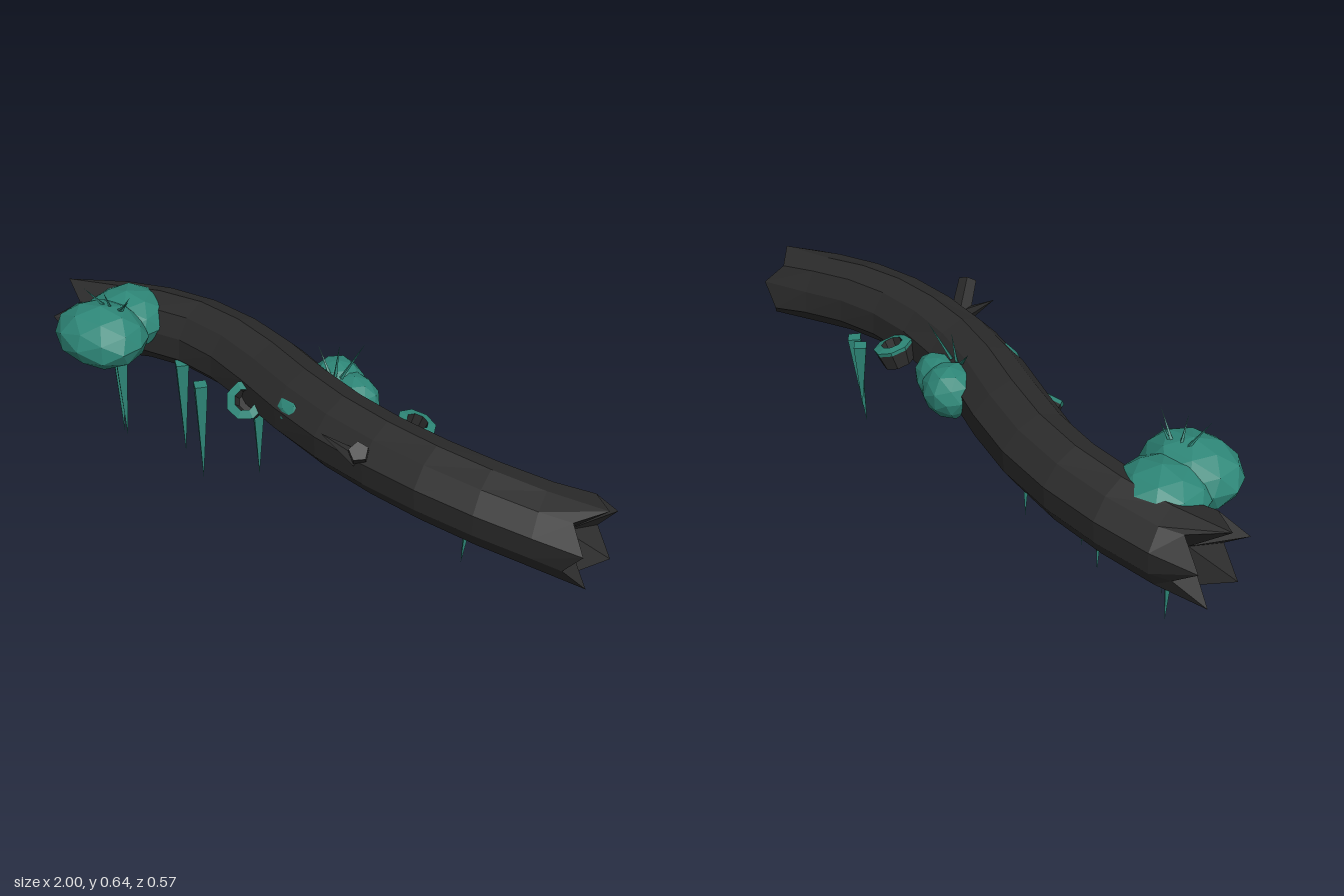
import * as THREE from 'three';

export function createModel() {
  const model = new THREE.Group();
  const bark = new THREE.MeshStandardMaterial({ color: 0x2b2b2b, flatShading: true });
  bark.name = 'charcoal bark';
  const moss = new THREE.MeshStandardMaterial({ color: 0x2e8778, flatShading: true });
  moss.name = 'teal moss';

  const add = (name, geometry, material, parent = model) => {
    const mesh = new THREE.Mesh(geometry, material);
    mesh.name = name;
    parent.add(mesh);
    return mesh;
  };

  // Tapered piece running from one point up to another
  const spike = (name, from, to, r0, r1, sides, material) => {
    const a = new THREE.Vector3(...from), b = new THREE.Vector3(...to);
    const dir = b.clone().sub(a);
    const mesh = add(name, new THREE.CylinderGeometry(r1, r0, dir.length(), sides), material);
    mesh.position.copy(a).add(b).multiplyScalar(0.5);
    mesh.quaternion.setFromUnitVectors(new THREE.Vector3(0, 1, 0), dir.normalize());
  };

  add('log', logGeometry(), bark);

  // Moss cushions: centre, radii, turn along the log
  [
    [[-0.725, 0.468, 0.062], [0.158, 0.1, 0.128], 0],
    [[-0.73, 0.46, -0.075], [0.14, 0.092, 0.137], 0],
    [[0.012, 0.463, 0.09], [0.1, 0.058, 0.053], -0.35],
    [[0.035, 0.455, -0.115], [0.09, 0.084, 0.082], -0.38],
    [[0.11, 0.45, -0.088], [0.095, 0.074, 0.065], -0.38],
  ].forEach(([c, r, turn], i) => {
    const cushion = add('mossCushion', mossGeometry(i), moss);
    cushion.position.set(...c);
    cushion.scale.set(...r);
    cushion.rotation.y = turn;
  });

  // Hanging moss strands: top x, z and tip x, y, z
  [
    [-0.765, -0.05, -0.765, 0, -0.053],
    [-0.71, 0, -0.708, 0.04, 0],
    [-0.5, -0.045, -0.5, 0.03, -0.042],
    [-0.38, 0.022, -0.382, 0.01, 0.025],
    [-0.2, -0.03, -0.2, 0.065, -0.03],
    [0.505, -0.05, 0.512, 0.135, -0.048],
    [0.555, -0.03, 0.537, 0.045, -0.01],
  ].forEach(([x, z, tx, ty, tz]) =>
    spike('hangingStrand', [tx, ty, tz], [x, 0.378, z], 0, 0.028, 4, moss));

  // Thin blades growing out of the cushions
  [
    [[-0.73, 0.55, 0.03], [-0.77, 0.63, 0.08]],
    [[-0.71, 0.55, 0.03], [-0.7, 0.63, 0.07]],
    [[-0.68, 0.55, 0.03], [-0.61, 0.62, 0.06]],
    [[-0.67, 0.55, 0.03], [-0.64, 0.605, 0.02]],
    [[0.04, 0.52, -0.06], [-0.02, 0.59, -0.09]],
    [[0.06, 0.52, -0.06], [0.065, 0.625, -0.075]],
    [[0.08, 0.52, -0.06], [0.138, 0.64, -0.1]],
  ].forEach(([a, b]) => spike('mossBlade', a, b, 0.006, 0, 4, moss));

  // Broken branch and its thorn
  spike('branchStub', [0.28, 0.46, 0.17], [0.333, 0.555, 0.265], 0.033, 0.029, 5, bark);
  spike('branchThorn', [0.29, 0.47, 0.2], [0.195, 0.548, 0.24], 0.026, 0, 5, bark);

  // Hollow cups with a mossy rim: position, tilt about x and z
  [[-0.172, 0.42, 0.07, 0.8, -0.2], [0.335, 0.44, -0.058, -0.15, -0.28]].forEach(([x, y, z, tx, tz]) => {
    const cup = new THREE.Group();
    cup.name = 'hollowCup';
    const lathe = (pts) => new THREE.LatheGeometry(pts.map((p) => new THREE.Vector2(...p)), 8);
    add('cupBody', lathe([[0, -0.045], [0.05, -0.045], [0.06, 0.006]]), bark, cup);
    add('cupHollow', lathe([[0.034, 0.024], [0.03, -0.02], [0, -0.02]]), bark, cup);
    add('cupRim', lathe([[0.06, 0.006], [0.062, 0.018], [0.034, 0.024]]), moss, cup);
    cup.position.set(x, y, z);
    cup.rotation.set(tx, 0, tz);
    model.add(cup);
  });

  return model;
}

// Winding trunk with ridged sides and splintered, hollowed ends
function logGeometry() {
  const sides = 10, rings = 13;
  const path = new THREE.CatmullRomCurve3([
    [-0.95, 0.375, -0.115], [-0.8, 0.39, -0.152], [-0.6, 0.415, -0.168], [-0.4, 0.427, -0.145],
    [-0.2, 0.437, -0.077], [0, 0.443, 0.012], [0.2, 0.443, 0.08], [0.4, 0.438, 0.115],
    [0.6, 0.425, 0.124], [0.8, 0.4, 0.103], [0.95, 0.378, 0.073],
  ].map((p) => new THREE.Vector3(...p)));
  const pos = [], index = [];
  for (let i = 0; i < rings; i++) {
    const t = i / (rings - 1), c = path.getPoint(t), d = path.getTangent(t);
    const slant = d.z / d.x;
    for (let j = 0; j < sides; j++) {
      const a = (j / sides) * Math.PI * 2;
      const r = 0.119 + 0.004 * Math.sin(j * 2.4 + i * 0.35) + (i === rings - 1 ? 0.006 : 0);
      const dz = Math.sin(a) * r;
      let x = c.x - dz * slant * 0.8;
      if (i === 0) x = j % 2 ? -0.9 : -1 + 0.015 * Math.abs(Math.sin(j));
      if (i === rings - 1) x = j % 2 ? 0.93 : 1 - 0.015 * Math.abs(Math.sin(j));
      pos.push(x, c.y + Math.cos(a) * r, c.z + dz);
    }
  }
  const last = (rings - 1) * sides, left = rings * sides, right = left + 1;
  pos.push(-0.87, 0.378, -0.12, 0.88, 0.378, 0.07);
  for (let j = 0; j < sides; j++) {
    const k = (j + 1) % sides;
    for (let i = 0; i < rings - 1; i++) {
      const a = i * sides + j, b = i * sides + k;
      index.push(a, b, a + sides, b, b + sides, a + sides);
    }
    index.push(left, k, j, right, last + j, last + k);
  }
  const g = new THREE.BufferGeometry();
  g.setAttribute('position', new THREE.Float32BufferAttribute(pos, 3));
  g.setIndex(index);
  g.computeVertexNormals();
  return g;
}

// Faceted ball, slightly uneven
function mossGeometry(seed) {
  const g = new THREE.IcosahedronGeometry(1, 1);
  const p = g.attributes.position, v = new THREE.Vector3();
  for (let i = 0; i < p.count; i++) {
    v.fromBufferAttribute(p, i);
    v.multiplyScalar(1 + 0.03 * Math.sin(v.x * 5 + v.y * 7 + v.z * 9 + seed));
    p.setXYZ(i, v.x, v.y, v.z);
  }
  g.computeVertexNormals();
  return g;
}
